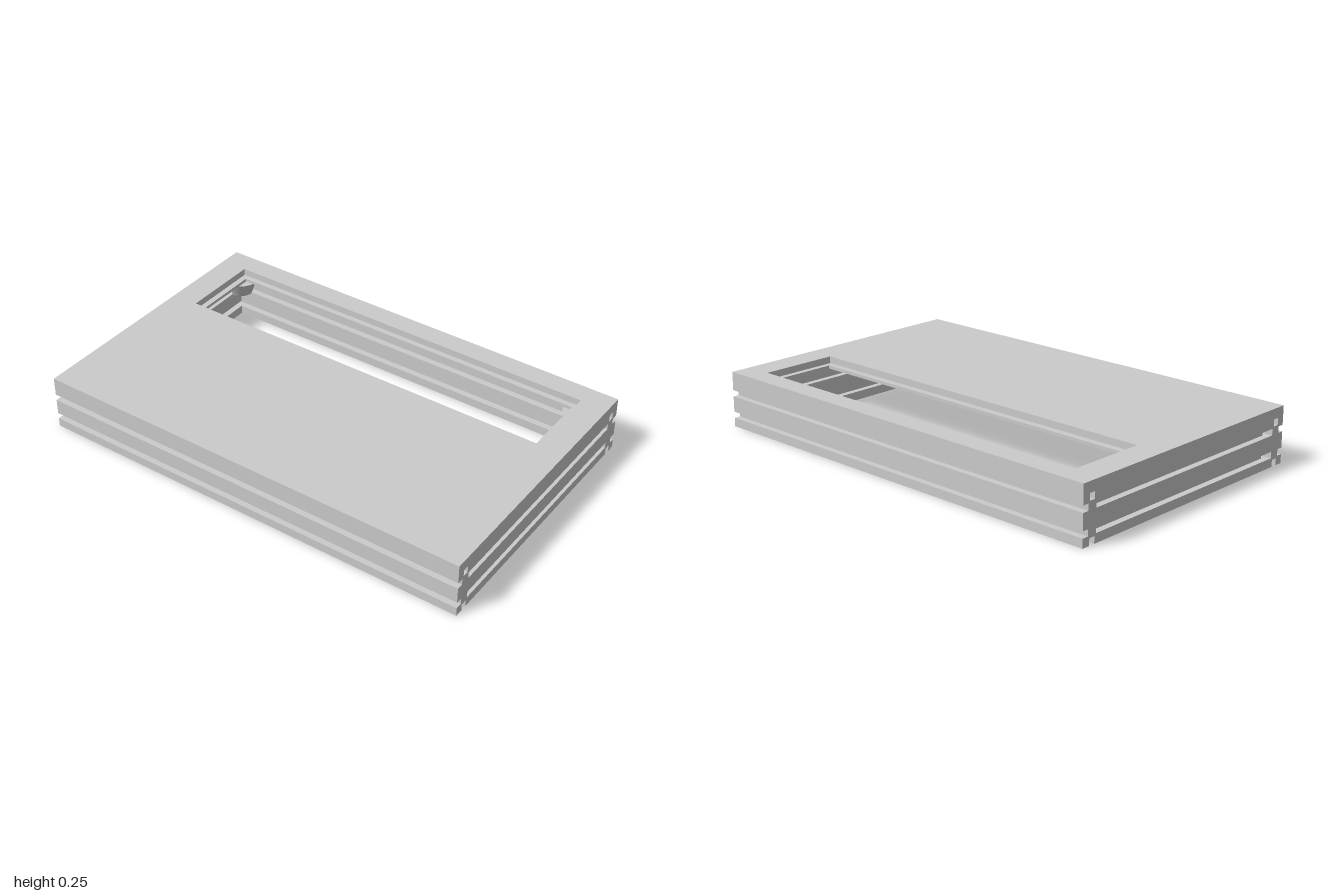
import * as THREE from 'three';

const W = 0.621, L = 1, RAIL = 0.1, H = 0.203, TOP = 0.248, LEDGE = 0.217;

export function createModel() {
  const group = new THREE.Group();
  const material = new THREE.MeshStandardMaterial({ color: 0xcccccc, flatShading: true });
  const add = (name, geometry) => {
    const mesh = new THREE.Mesh(geometry, material);
    mesh.name = name;
    group.add(mesh);
    return mesh;
  };

  // Slotted rail cross-section: right half, then mirrored
  const h = RAIL / 2, d = 0.028, g = 0.014;
  const half = [
    [g, 0.03], [g, 0], [h, 0],
    [h, 0.039], [h - d, 0.039], [h - d, 0.067], [h, 0.067],
    [h, 0.137], [h - d, 0.137], [h - d, 0.165], [h, 0.165],
    [h, H], [g, H], [g, H - 0.03],
  ];
  const outline = [...half, ...half.map(([x, y]) => [-x, y]).reverse()];
  const profile = new THREE.Shape(outline.map(([x, y]) => new THREE.Vector2(x, y)));
  const rail = (length) => new THREE.ExtrudeGeometry(profile, { depth: length, bevelEnabled: false })
    .translate(0, 0, -length / 2);

  // Long side rails run the full length, end rails fit between them
  for (const s of [1, -1]) {
    add(s > 0 ? 'leftRail' : 'rightRail', rail(2 * L)).position.x = s * (W - h);
    const end = add(s > 0 ? 'frontRail' : 'backRail', rail(2 * (W - RAIL)).rotateY(Math.PI / 2));
    end.position.z = s * (L - h);
  }

  // Top plate in two layers: the narrower lower opening leaves a ledge
  const rect = (Type, x0, x1, z) => new Type([
    new THREE.Vector2(x0, -z), new THREE.Vector2(x1, -z),
    new THREE.Vector2(x1, z), new THREE.Vector2(x0, z),
  ]);
  const plate = (name, y0, y1, x0, x1, z) => {
    const shape = rect(THREE.Shape, -W, W, L);
    shape.holes.push(rect(THREE.Path, x0, x1, z));
    add(name, new THREE.ExtrudeGeometry(shape, { depth: y1 - y0, bevelEnabled: false })
      .rotateX(-Math.PI / 2).translate(0, y0, 0));
  };
  plate('plateLedge', H, LEDGE, 0.2, 0.5, 0.852);
  plate('topPlate', LEDGE, TOP, 0.17, 0.525, 0.878);

  // Tapered quarter-round bosses under the plate in the inner corners
  const bossHeight = 0.072;
  for (const [x, z, start] of [[1, 1, Math.PI], [1, -1, 1.5 * Math.PI], [-1, -1, 0], [-1, 1, 0.5 * Math.PI]]) {
    const boss = new THREE.Group();
    boss.name = 'cornerBoss';
    boss.position.set(x * (W - RAIL), H - bossHeight / 2, z * (L - RAIL));
    boss.add(new THREE.Mesh(
      new THREE.CylinderGeometry(0.09, 0.06, bossHeight, 10, 1, false, start, Math.PI / 2), material));
    group.add(boss);
  }
  return group;
}
